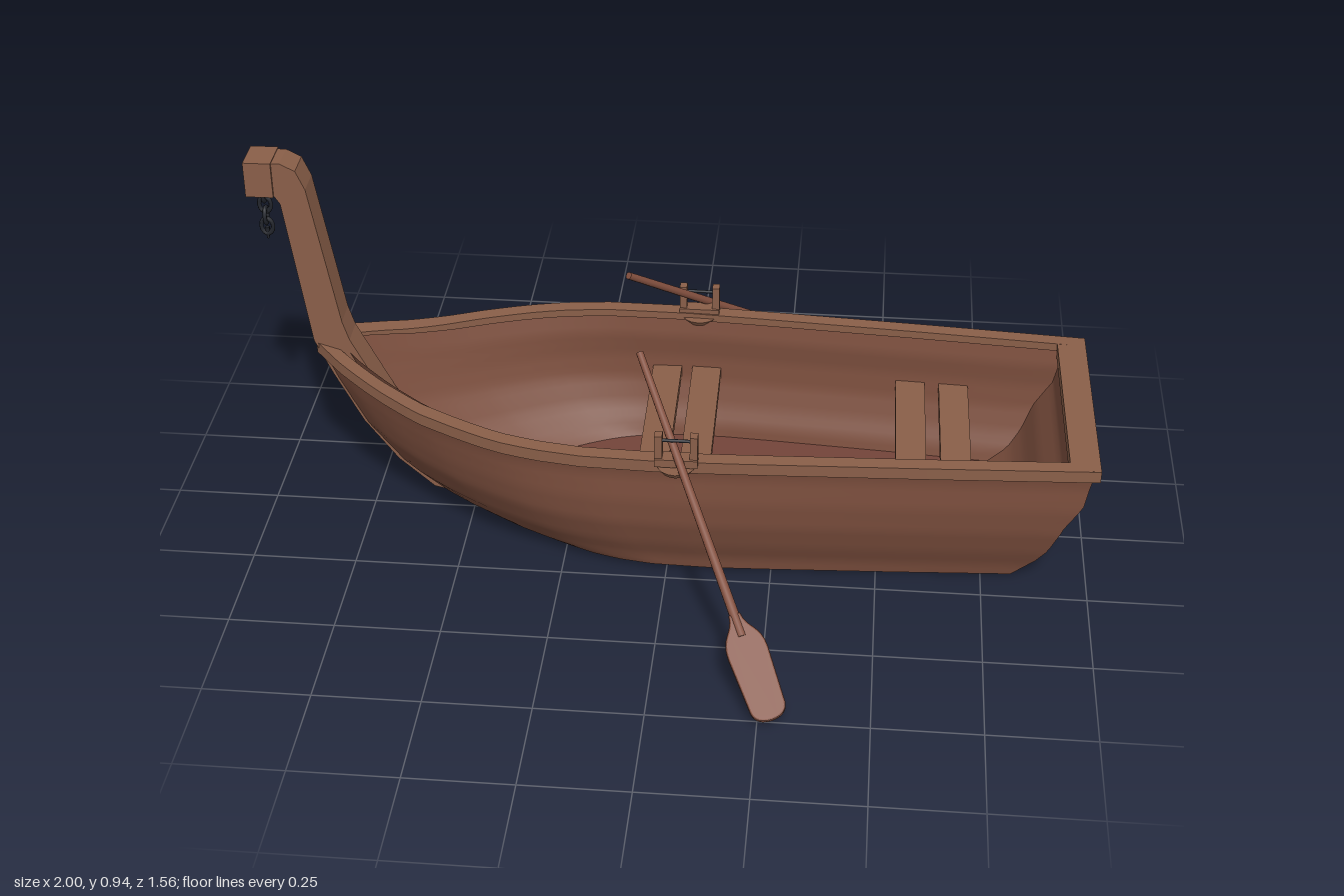
import * as THREE from 'three';

const mat = (color, flatShading = false) =>
  new THREE.MeshStandardMaterial({ color, flatShading, side: THREE.DoubleSide });
const hullWood = mat(0x7b4e3d), floorWood = mat(0x74443a), trimWood = mat(0x8a5f49, true);
const oarWood = mat(0x83503f), iron = mat(0x23262d);

function add(parent, name, geometry, material, x = 0, y = 0, z = 0) {
  const mesh = new THREE.Mesh(geometry, material);
  mesh.name = name;
  mesh.position.set(x, y, z);
  parent.add(mesh);
  return mesh;
}

// Linear lookup in a list of [key, value] pairs
function look(table, k) {
  let i = 1;
  while (i < table.length - 1 && k > table[i][0]) i++;
  const [a, b] = [table[i - 1], table[i]];
  return THREE.MathUtils.mapLinear(THREE.MathUtils.clamp(k, a[0], b[0]), a[0], b[0], a[1], b[1]);
}

// Surface from a rule fn(a, b) -> [x, y, z], with a and b in 0..1
function loft(fn, na, nb) {
  const pos = [], index = [];
  for (let i = 0; i <= na; i++) for (let j = 0; j <= nb; j++) pos.push(...fn(i / na, j / nb));
  for (let i = 0; i < na; i++) for (let j = 0; j < nb; j++) {
    const p = i * (nb + 1) + j, q = p + nb + 1;
    index.push(p, q, p + 1, q, q + 1, p + 1);
  }
  const g = new THREE.BufferGeometry();
  g.setAttribute('position', new THREE.Float32BufferAttribute(pos, 3));
  g.setIndex(index);
  g.computeVertexNormals();
  return g;
}

// Hull lines: u runs bow to stern, v runs keel to rim
const BEAM = [[0, .03], [.035, .09], [.075, .142], [.145, .22], [.2, .27], [.25, .308], [.3, .332],
  [.36, .347], [.465, .35], [.57, .341], [.79, .318], [1, .293]];
const SHEER = [[0, .46], [.055, .428], [.1, .405], [.145, .39], [.25, .379], [.5, .37], [1, .356]];
const BOW = [[0, -.52], [.04, -.565], [.09, -.605], [.25, -.685], [.5, -.765], [.8, -.83], [1, -.865]];
const STERN = [[0, .82], [.13, .87], [.27, .9], [.5, .93], [.7, .97], [.93, .985], [1, .99]];
const FLARE = [[0, .77], [.1, .79], [.25, .855], [.45, .915], [.65, .935], [.85, .925], [1, .95]];

function hullPoint(u, v, side, inset = 0) {
  const bottom = .022 - .019 * u + inset * 1.2;
  return [
    THREE.MathUtils.lerp(look(BOW, v) + inset * 1.2, look(STERN, v) - inset * 1.5, u),
    THREE.MathUtils.lerp(bottom, look(SHEER, u) - .012, v),
    side * Math.max(look(BEAM, u) * look(FLARE, v) - inset, .008),
  ];
}

// s from 0 to 1 goes port stern, bow, starboard stern; denser at the bow
const wrap = s => {
  const t = 2 * s - 1;
  return [Math.abs(t) ** 1.5, t < 0 ? -1 : 1];
};

function addShell(boat, prefix, inset, floorMaterial) {
  add(boat, prefix + 'Sides', loft((s, v) => {
    const [u, side] = wrap(s);
    return hullPoint(u, v, side, inset);
  }, 81, 20), hullWood);
  add(boat, prefix + 'Bottom', loft((a, t) => hullPoint(a ** 1.5, 0, 2 * t - 1, inset), 40, 4), floorMaterial);
  add(boat, prefix + 'Transom', loft((v, t) => hullPoint(1, v, 2 * t - 1, inset), 20, 4), hullWood);
}

function addRim(boat) {
  // Rectangular strip following the sheer, broader across at the bow
  const corners = [[0, 0], [1, 0], [1, 1], [0, 1], [0, 0]];
  add(boat, 'rim', loft((s, c) => {
    const [u, side] = wrap(s);
    const [inner, low] = corners[Math.round(c * 4)];
    const outer = look(BEAM, u);
    const slope = (look(BEAM, u + .02) - look(BEAM, Math.max(u - .02, 0))) / .075;
    const width = .038 * Math.sqrt(1 + slope * slope);
    return [-.87 + 1.87 * u, look(SHEER, u) - low * .03,
      side * (inner ? Math.max(outer - width, .004) : outer)];
  }, 81, 4), trimWood);
  add(boat, 'sternRim', new THREE.BoxGeometry(.07, .031, .584), trimWood, .965, .341, 0);
}

function addStem(boat) {
  // Curved post rising from the floor to the hooked head
  const outline = [[-1, .94], [-.915, .94], [-.88, .922], [-.86, .875], [-.8, .52], [-.785, .47], [-.75, .40],
    [-.68, .26], [-.6, .15], [-.45, .062], [-.5, .027], [-.6, .052], [-.685, .13], [-.765, .24],
    [-.83, .37], [-.872, .465], [-.922, .835], [-.935, .855], [-1, .855]];
  const shape = new THREE.Shape(outline.map(p => new THREE.Vector2(...p)));
  add(boat, 'stemPost', new THREE.ExtrudeGeometry(shape, { depth: .076, bevelEnabled: false }),
    trimWood, 0, 0, -.038);
  add(boat, 'stemHead', new THREE.BoxGeometry(.065, .088, .088), trimWood, -.9675, .898, 0);

  // Hanging chain
  const chain = new THREE.Group();
  chain.name = 'chain';
  const link = new THREE.TorusGeometry(.014, .005, 6, 14);
  for (let i = 0; i < 4; i++) {
    const ring = add(chain, 'chainLink', link, iron, -.968, .842 - i * .029, 0);
    ring.scale.y = 1.4;
    ring.rotation.y = i % 2 ? 0 : Math.PI / 2;
  }
  add(chain, 'chainEnd', new THREE.CylinderGeometry(.006, .003, .03, 6), iron, -.968, .737, 0);
  boat.add(chain);
}

function addBenches(boat) {
  for (const [x, halfWidth] of [[-.045, .305], [.055, .305], [.572, .27], [.68, .265]])
    add(boat, 'benchPlank', new THREE.BoxGeometry(.073, .028, halfWidth * 2), trimWood, x, .211, 0);
}

function makeOar(name, handle, tip, widthHint) {
  const oar = new THREE.Group();
  oar.name = name;
  const axis = tip.clone().sub(handle), length = axis.length();
  axis.normalize();
  const across = widthHint.clone().addScaledVector(axis, -widthHint.dot(axis)).normalize();
  const normal = new THREE.Vector3().crossVectors(across, axis);
  oar.quaternion.setFromRotationMatrix(new THREE.Matrix4().makeBasis(across, axis, normal));
  oar.position.copy(handle);

  const shaft = length - .2;
  add(oar, 'oarShaft', new THREE.CylinderGeometry(.012, .009, shaft, 10), oarWood, 0, shaft / 2, 0);
  // Paddle blade, local y running to the tip
  const b = new THREE.Shape();
  b.moveTo(-.01, length - .25);
  b.bezierCurveTo(-.015, length - .21, -.044, length - .21, -.043, length - .16);
  b.lineTo(-.037, length - .03);
  b.quadraticCurveTo(-.033, length - .006, 0, length - .005);
  b.quadraticCurveTo(.033, length - .006, .037, length - .03);
  b.lineTo(.043, length - .16);
  b.bezierCurveTo(.044, length - .21, .015, length - .21, .01, length - .25);
  add(oar, 'oarBlade', new THREE.ExtrudeGeometry(b, {
    depth: .008, bevelThickness: .004, bevelSize: .004, bevelSegments: 2, curveSegments: 8,
  }), oarWood, 0, 0, -.004);
  return oar;
}

function makeOarlock(z) {
  const lock = new THREE.Group();
  lock.name = 'oarlock';
  add(lock, 'oarlockBase', new THREE.BoxGeometry(.1, .02, .036), trimWood, 0, .372, 0);
  add(lock, 'oarlockPad', new THREE.CylinderGeometry(.045, .035, .014, 16), trimWood, 0, .352, 0);
  for (const x of [-.041, .041])
    add(lock, 'oarlockPost', new THREE.BoxGeometry(.018, .075, .024), trimWood, x, .404, 0);
  const bar = add(lock, 'oarlockBar', new THREE.CylinderGeometry(.004, .004, .09, 8), iron, 0, .425, 0);
  bar.rotation.z = Math.PI / 2;
  lock.position.set(.03, 0, z);
  return lock;
}

export function createModel() {
  const model = new THREE.Group();
  model.name = 'rowingBoat';

  const boat = new THREE.Group();
  boat.name = 'boat';
  boat.position.z = -.054;
  boat.rotation.y = .012;
  addShell(boat, 'hull', 0, hullWood);
  addShell(boat, 'inner', .03, floorWood);
  addRim(boat);
  addStem(boat);
  addBenches(boat);
  model.add(boat);

  const V = (x, y, z) => new THREE.Vector3(x, y, z);
  model.add(makeOarlock(.287), makeOarlock(-.386));
  model.add(makeOar('leftOar', V(-.072, .54, .1), V(.285, .027, .772), V(1, 0, 0)));
  model.add(makeOar('rightOar', V(-.133, .553, -.23), V(.41, .05, -.765), V(.53, 0, .545)));
  return model;
}
